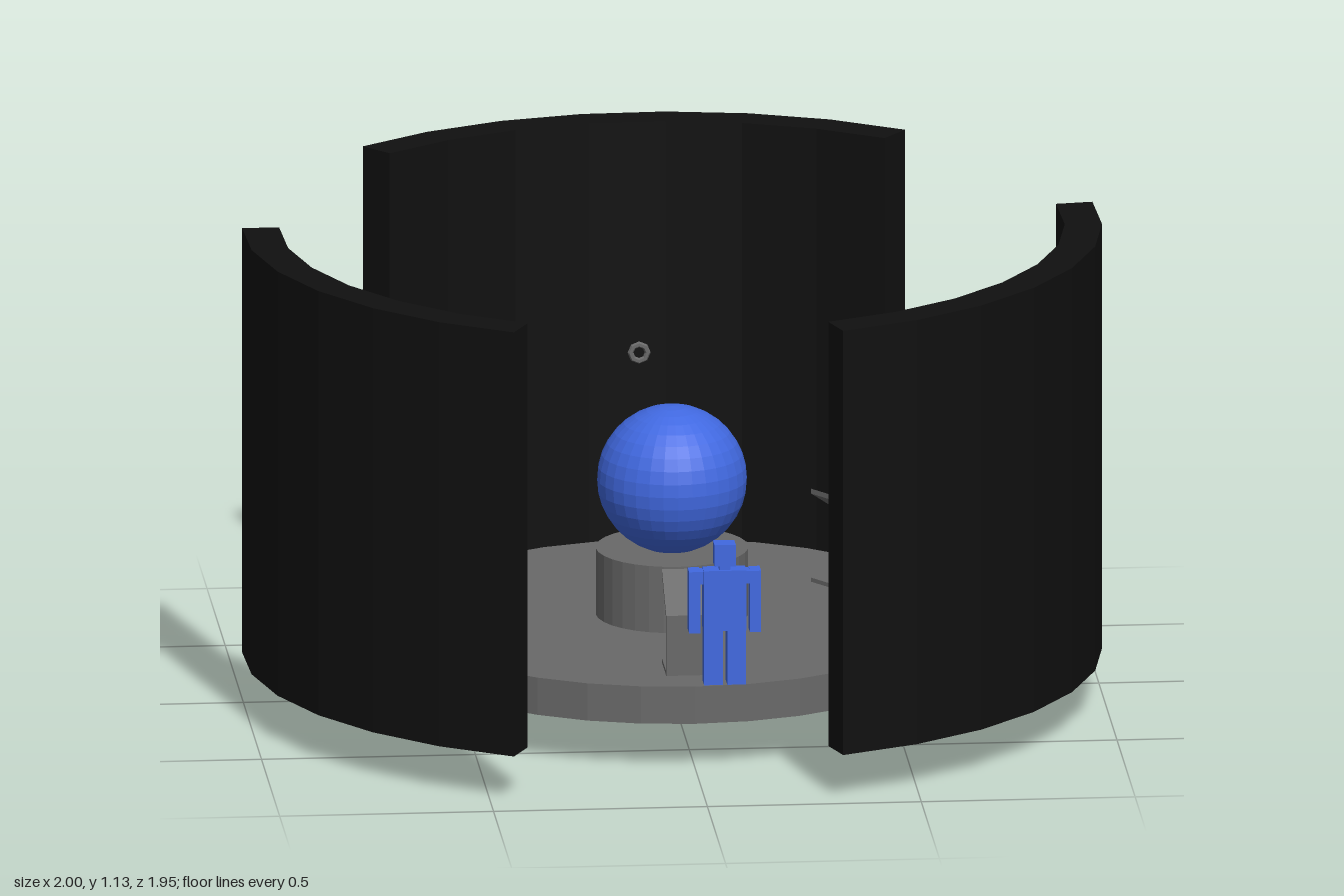
import * as THREE from 'three';

export function createModel() {
  const root = new THREE.Group();
  const rad = THREE.MathUtils.degToRad;
  const mat = (name, color, opts = {}) => {
    const m = new THREE.MeshStandardMaterial({ color, flatShading: true, ...opts });
    m.name = name;
    return m;
  };
  const black = mat('wallBlack', 0x101010);
  const grey = mat('platformGrey', 0x696969);
  const blue = mat('royalBlue', 0x4169e1);

  const add = (parent, name, geo, material, x = 0, y = 0, z = 0) => {
    const m = new THREE.Mesh(geo, material);
    m.name = name;
    m.position.set(x, y, z);
    parent.add(m);
    return m;
  };

  // Everything round shares one centre
  const hub = new THREE.Group();
  hub.name = 'chamber';
  hub.position.z = 0.025;
  root.add(hub);

  // Platform, central pedestal and orb
  add(hub, 'platform', new THREE.CylinderGeometry(0.648, 0.648, 0.09, 32), grey, 0, 0.155, 0);
  add(hub, 'pedestal', new THREE.CylinderGeometry(0.178, 0.178, 0.36, 32), grey, 0, 0.18, 0);
  add(hub, 'orb', new THREE.SphereGeometry(0.175, 32, 18), blue, 0, 0.525, 0);

  // Curved walls on a 32-step circle: [first step, number of steps], clockwise from the back
  const STEP = 360 / 32, OFFSET = 3.9;
  const wallGeometry = (first, count) => {
    const outer = [], inner = [];
    for (let i = 0; i <= count; i++) {
      const t = rad(OFFSET + (first + i) * STEP);
      outer.push(new THREE.Vector2(Math.sin(t), Math.cos(t)).multiplyScalar(1.002));
      inner.unshift(new THREE.Vector2(Math.sin(t), Math.cos(t)).multiplyScalar(0.915));
    }
    const geo = new THREE.ExtrudeGeometry(new THREE.Shape([...outer, ...inner]),
      { depth: 1.025, bevelEnabled: false });
    return geo.rotateX(-Math.PI / 2);
  };
  [['backWall', 28, 7], ['leftWall', 7, 7], ['rightWall', 18, 6]].forEach(([name, first, count]) =>
    add(hub, name, wallGeometry(first, count), black, 0, 0.11, 0));

  // Small ring fitting on the inside of each wall
  for (const deg of [0, 122, 238]) {
    const t = rad(deg);
    const ring = add(hub, 'wallRing', new THREE.TorusGeometry(0.02, 0.007, 6, 8), grey,
      Math.sin(t) * 0.905, 0.58, -Math.cos(t) * 0.905);
    ring.rotation.y = -t;
  }

  // Consoles: foot, upright outer plate and a sloping desk rising inward
  const profile = [
    [-0.06, 0], [0.06, 0], [0.06, 0.145], [-0.06, 0.225],
    [-0.06, 0.213], [0.05, 0.14], [0.05, 0.01], [-0.06, 0.01],
  ].map(([s, y]) => new THREE.Vector2(s, y));
  const consoleGeo = new THREE.ExtrudeGeometry(new THREE.Shape(profile), { depth: 0.12, bevelEnabled: false })
    .translate(0, 0, -0.06).rotateY(-Math.PI / 2);
  [['frontConsole', 0, 0.49, 0], ['leftConsole', 0.43, -0.23, 126], ['rightConsole', -0.43, -0.23, -110]]
    .forEach(([name, x, z, turn]) => {
      add(hub, name, consoleGeo, grey, x, 0.2, z).rotation.y = rad(turn);
    });

  // Standing figure made of blocks
  const figure = new THREE.Group();
  figure.name = 'figure';
  figure.position.set(0.07, 0.2, 0.642);
  root.add(figure);
  const block = (name, w, h, d, x, y) =>
    add(figure, name, new THREE.BoxGeometry(w, h, d), blue, x, y, 0);
  block('head', 0.05, 0.052, 0.044, 0, 0.312);
  block('neck', 0.026, 0.014, 0.026, 0, 0.28);
  block('torso', 0.1, 0.145, 0.044, 0, 0.203);
  for (const s of [-1, 1]) {
    block('shoulder', 0.014, 0.03, 0.036, s * 0.054, 0.258);
    block('arm', 0.026, 0.148, 0.044, s * 0.071, 0.2);
    block('leg', 0.044, 0.132, 0.044, s * 0.027, 0.066);
  }
  return root;
}
